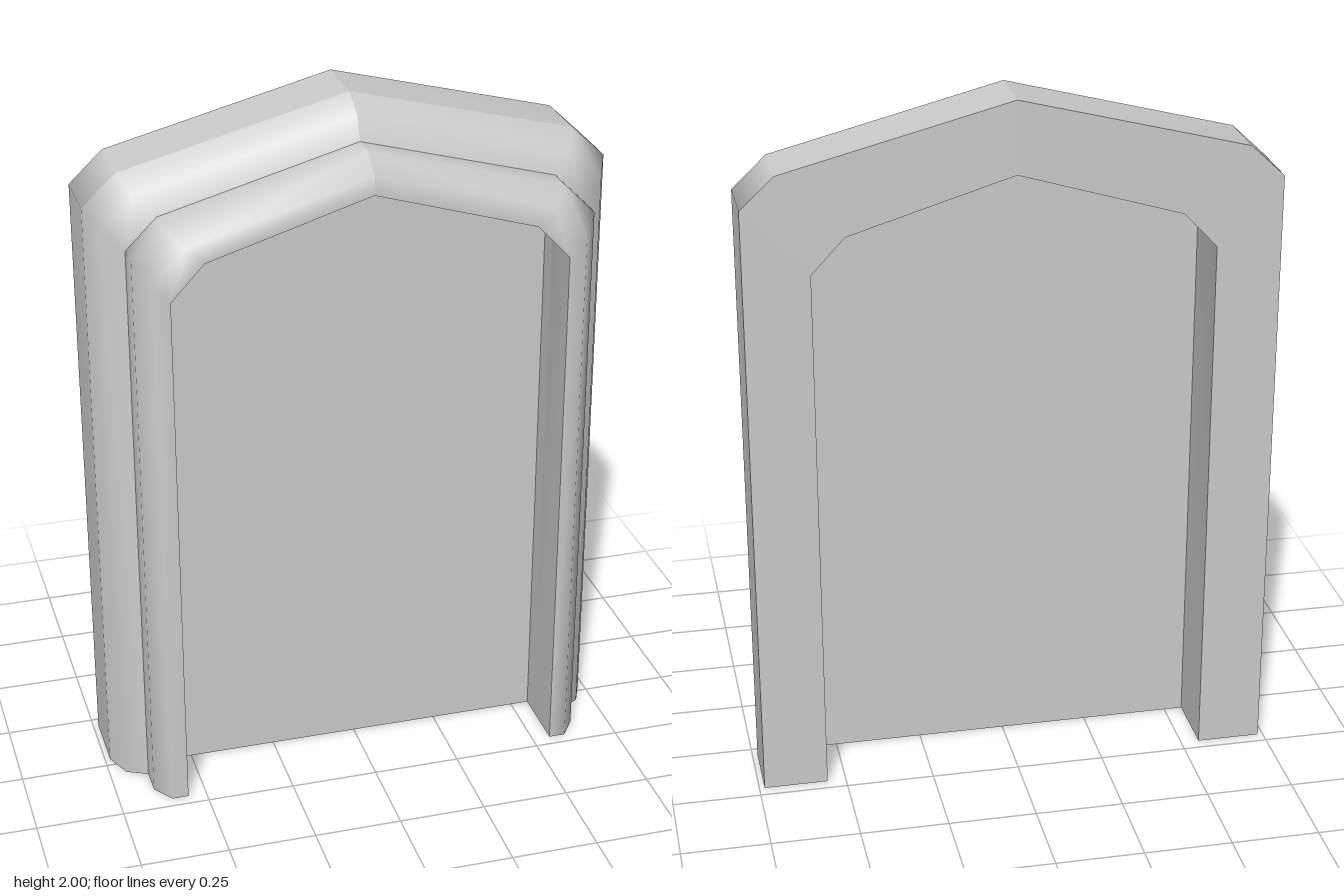
import * as THREE from 'three';
import { mergeGeometries } from 'three/addons/utils/BufferGeometryUtils.js';

// Arch contours, right half: foot, jamb top, shoulder, apex
const OUTER = [[0.735, 0], [0.735, 1.745], [0.64, 1.835], [0, 2]];
const STEP = [[0.642, 0], [0.642, 1.655], [0.555, 1.742], [0, 1.895]];
const INNER = [[0.553, 0], [0.553, 1.555], [0.46, 1.655], [0, 1.795]];

const blend = (a, b, t) => a.map(([x, y], i) => [x + (b[i][0] - x) * t, y + (b[i][1] - y) * t]);
const toShape = (points) => new THREE.Shape(points.map(([x, y]) => new THREE.Vector2(x, y)));

const material = new THREE.MeshStandardMaterial({ color: 0xcccccc });

// One smooth strip of contours on one side (+1 or -1); strips meet in sharp edges
function stripGeometry(strip, side) {
  const n = strip[0][0].length;
  const positions = strip.flatMap(([contour, z]) => contour.flatMap(([x, y]) => [side * x, y, z]));
  const index = [];
  for (let i = 0; i < strip.length - 1; i++) {
    for (let j = 0; j < n - 1; j++) {
      const a = i * n + j, b = a + n;
      if (side > 0) index.push(a, a + 1, b, a + 1, b + 1, b);
      else index.push(a, b, a + 1, a + 1, b, b + 1);
    }
  }
  const geometry = new THREE.BufferGeometry();
  geometry.setAttribute('position', new THREE.Float32BufferAttribute(positions, 3));
  geometry.setIndex(index);
  geometry.computeVertexNormals();
  return geometry;
}

// Downward face closing the foot of one jamb
function footGeometry(strips, side) {
  const outline = strips.flatMap((strip) => strip.slice(0, -1)).concat([strips.at(-1).at(-1)]);
  const geometry = new THREE.ShapeGeometry(toShape(outline.map(([contour, z]) => [side * contour[0][0], z])));
  geometry.rotateX(Math.PI / 2);
  geometry.deleteAttribute('uv');
  return geometry;
}

function archPart(name, strips) {
  const pieces = [1, -1].flatMap((side) => [
    ...strips.map((strip) => stripGeometry(strip, side)),
    footGeometry(strips, side),
  ]);
  const mesh = new THREE.Mesh(mergeGeometries(pieces), material);
  mesh.name = name;
  return mesh;
}

export function createModel() {
  const group = new THREE.Group();
  group.name = 'archedDoorFrame';

  // Deep casing: reveal, back face, outer wall, rounded front shoulder
  group.add(archPart('casing', [
    [[INNER, 0.075], [INNER, -0.215]],
    [[INNER, -0.215], [OUTER, -0.215]],
    [[OUTER, -0.215], [OUTER, -0.03]],
    [[OUTER, -0.03], [blend(OUTER, STEP, 0.37), 0.047], [STEP, 0.075]],
  ]));

  // Narrower raised trim: rounded front, then its reveal
  group.add(archPart('trim', [
    [[STEP, 0.075], [STEP, 0.155], [blend(STEP, INNER, 0.47), 0.215], [INNER, 0.215]],
    [[INNER, 0.215], [INNER, 0.075]],
  ]));

  // Thin recessed panel filling the arch
  const left = INNER.slice(0, -1).reverse().map(([x, y]) => [-x, y]);
  const panel = new THREE.Mesh(
    new THREE.ExtrudeGeometry(toShape([...INNER, ...left]), { depth: 0.036, bevelEnabled: false }),
    material,
  );
  panel.name = 'panel';
  panel.position.z = -0.02;
  group.add(panel);

  return group;
}
